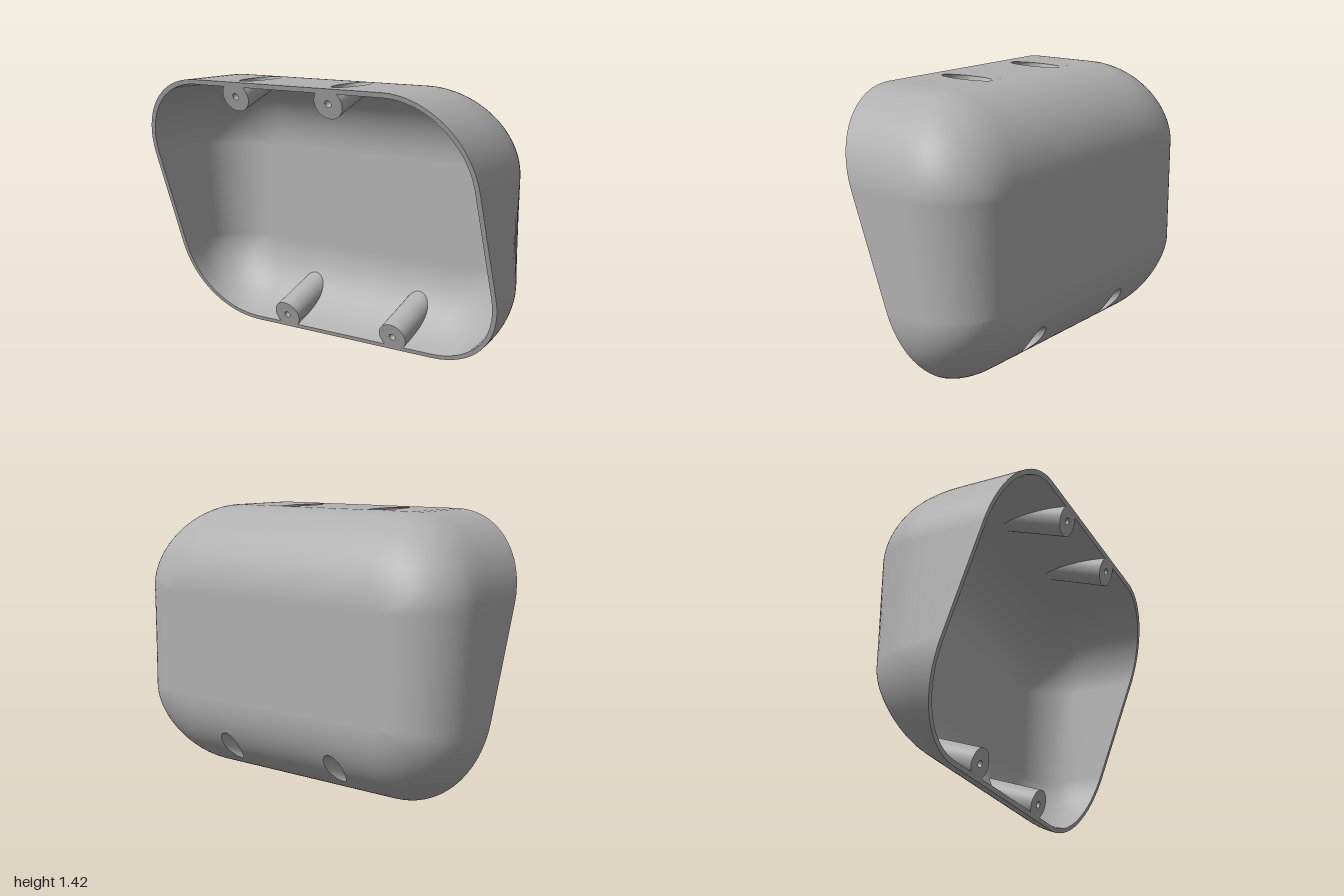
import * as THREE from 'three';
import { mergeVertices } from 'three/addons/utils/BufferGeometryUtils.js';

const BACK = -0.41, WALL = 0.025, ROWS = 32;
const SLOPE = 0.3627, TILT = Math.atan(SLOPE);
const POCKET_R = 0.055, BOSS_R = 0.08, SCREW_R = 0.018, FLOOR = 0.05;
const HALF = 0.09; // half width of the patch around each screw opening

// slanted plane that cuts the front open
const plane = (y) => -0.105 + SLOPE * y;

// extent of a rounded back edge of radius R at depth z, inset by o
function arc(R, z, o) {
  const d = BACK + R - z, r = R - o;
  return d <= 0 ? r : Math.sqrt(Math.max(0, r * r - d * d));
}
const topY = (z, o) => 0.98 + arc(0.44, z, o);
const bottomY = (z, o) => 0.43 - arc(0.45, z, o);

const bosses = [
  { name: 'upperBossRight', x: -0.31, y: 1.345, side: 1 },
  { name: 'upperBossLeft', x: 0.255, y: 1.345, side: 1 },
  { name: 'lowerBossRight', x: -0.345, y: 0.08, side: -1 },
  { name: 'lowerBossLeft', x: 0.345, y: 0.08, side: -1 },
];

// distance along a boss, from its front, until it leaves the shell inset by o
function hit(b, cos, sin, r, o) {
  const y0 = b.y + r * sin * Math.cos(TILT), z0 = plane(b.y) + r * sin * Math.sin(TILT);
  const at = (t) => [y0 + t * Math.sin(TILT), z0 - t * Math.cos(TILT)];
  const outside = (t) => {
    const [y, z] = at(t);
    return z < BACK + o || y > topY(z, o) || y < bottomY(z, o);
  };
  let t = 0;
  while (t < 1 && !outside(t)) t += 0.004;
  let lo = Math.max(0, t - 0.004), hi = t;
  for (let k = 0; k < 20; k++) {
    const m = (lo + hi) / 2;
    if (outside(m)) hi = m; else lo = m;
  }
  return { t: lo, z: at(lo)[1] };
}

// outline stations, counter-clockwise from the front
function makeStations() {
  const list = [];
  const corner = (x, y, a0) => {
    for (let k = 0; k <= 16; k++) {
      const a = a0 + (k / 16) * Math.PI / 2;
      list.push({ x, y, c: Math.cos(a), s: Math.sin(a) });
    }
  };
  const straight = (side, y) => {
    bosses.filter((b) => b.side === side).sort((p, q) => side * (q.x - p.x)).forEach((b) => {
      list.push({ x: b.x + side * HALF, y, c: 0, s: side, boss: b });
      list.push({ x: b.x - side * HALF, y, c: 0, s: side });
    });
  };
  corner(0.57, 0.98, 0);
  straight(1, 0.98);
  corner(-0.57, 0.98, Math.PI / 2);
  corner(-0.57, 0.43, Math.PI);
  straight(-1, 0.43);
  corner(0.57, 0.43, Math.PI * 1.5);
  return list;
}
const stations = makeStations();

function pointAtZ(u, z, o) {
  const rx = 0.12 + arc(0.31, z, o), ry = arc(u.s >= 0 ? 0.44 : 0.45, z, o);
  return new THREE.Vector3(u.x + u.c * rx, u.y + u.s * ry, z);
}
// depth from the back to the slanted rim
function reach(u, o) {
  let z = 0;
  for (let k = 0; k < 40; k++) z = plane(pointAtZ(u, z, o).y);
  return z - BACK - o;
}
const surface = (u, s, o, len = reach(u, o)) => pointAtZ(u, BACK + o + len * s * s, o);

function toGeometry(points, flip) {
  const geo = new THREE.BufferGeometry().setFromPoints(points);
  const index = [];
  for (let k = 0; k < points.length; k += 3) index.push(k, flip ? k + 2 : k + 1, flip ? k + 1 : k + 2);
  geo.setIndex(index);
  const merged = mergeVertices(geo, 1e-5);
  merged.computeVertexNormals();
  return merged;
}

// one skin of the shell with its four screw openings
function skin(o, holeR, flip) {
  const tri = [];
  const quad = (a, b, c, d) => tri.push(a, b, c, a, c, d);
  const grid = stations.map((u) => {
    const len = reach(u, o);
    return Array.from({ length: ROWS + 1 }, (_, j) => surface(u, j / ROWS, o, len));
  });
  const centre = new THREE.Vector3(0, 0.705, BACK + o);
  stations.forEach((u, i) => {
    const A = grid[i], B = grid[(i + 1) % grid.length];
    tri.push(centre, B[0], A[0]);
    const gap = u.boss ? opening(u, o, holeR, quad) : null;
    for (let j = 0; j < ROWS; j++) {
      if (gap && j >= gap[0] && j < gap[1]) continue;
      quad(A[j], B[j], B[j + 1], A[j + 1]);
    }
  });
  return toGeometry(tri, flip);
}

// rectangular patch around an opening, blended in rings; returns the rows it fills
function opening(u, o, r, quad) {
  const b = u.boss, len = reach(u, o);
  const sAt = (cos, sin) => {
    const h = hit(b, cos, sin, r, o);
    return Math.min(0.97, Math.sqrt(Math.max(0, h.z - BACK - o) / len));
  };
  const s0 = sAt(0, -b.side), s1 = sAt(0, b.side);
  const mid = (s0 + s1) / 2, half = (s1 - s0) / 2;
  const j0 = Math.max(0, Math.floor(s0 * ROWS) - 1), j1 = Math.min(ROWS, Math.ceil(s1 * ROWS) + 1);
  const edge = [], K = 10;
  for (let k = 0; k < K; k++) edge.push([-HALF + 2 * HALF * k / K, j0 / ROWS]);
  for (let j = j0; j < j1; j++) edge.push([HALF, j / ROWS]);
  for (let k = 0; k < K; k++) edge.push([HALF - 2 * HALF * k / K, j1 / ROWS]);
  for (let j = j1; j > j0; j--) edge.push([-HALF, j / ROWS]);
  const rings = edge.map(([a, s]) => {
    const f = Math.atan2((s - mid) / half, a / r);
    const ha = r * Math.cos(f), hs = sAt(-b.side * Math.cos(f), b.side * Math.sin(f));
    return [0, 1, 2, 3].map((m) => {
      const x = b.x - b.side * THREE.MathUtils.lerp(a, ha, m / 3);
      return surface({ ...u, x }, THREE.MathUtils.lerp(s, hs, m / 3), o, len);
    });
  });
  rings.forEach((p, k) => {
    const q = rings[(k + 1) % rings.length];
    for (let m = 0; m < 3; m++) quad(p[m], q[m], q[m + 1], p[m + 1]);
  });
  return [j0, j1];
}

// flat lip between the two skins
function rim() {
  const tri = [];
  stations.forEach((u, i) => {
    const v = stations[(i + 1) % stations.length];
    const a = surface(u, 1, 0), b = surface(v, 1, 0), c = surface(v, 1, WALL), d = surface(u, 1, WALL);
    tri.push(a, b, c, a, c, d);
  });
  return toGeometry(tri, false);
}

// open tube along local -z whose far end follows a rule
function tube(r, near, far) {
  const geo = new THREE.CylinderGeometry(r, r, 1, 48, 1, true).rotateX(Math.PI / 2);
  const p = geo.attributes.position;
  for (let k = 0; k < p.count; k++) {
    const end = far(p.getX(k) / r, p.getY(k) / r);
    p.setZ(k, p.getZ(k) > 0 ? -near : -Math.max(near, end));
  }
  return geo;
}

export function createModel() {
  const model = new THREE.Group();
  const grey = new THREE.MeshStandardMaterial({ color: 0xb0b0b0 });
  grey.name = 'grey';
  const greyThin = grey;
  greyThin.side = THREE.DoubleSide;
  const add = (parent, name, geo) => {
    const mesh = new THREE.Mesh(geo, grey);
    mesh.name = name;
    parent.add(mesh);
    return mesh;
  };

  add(model, 'outerShell', skin(0, POCKET_R, false));
  add(model, 'innerShell', skin(WALL, 0.06, true));
  add(model, 'rim', rim());

  // screw bosses with a countersunk pocket open to the outside
  for (const b of bosses) {
    const g = new THREE.Group();
    g.name = b.name;
    g.position.set(b.x, b.y, plane(b.y));
    g.rotation.x = TILT;
    add(g, 'bossWall', tube(BOSS_R, 0, (c, s) => hit(b, c, s, BOSS_R, WALL / 2).t));
    add(g, 'bossFace', new THREE.RingGeometry(SCREW_R, BOSS_R, 48));
    add(g, 'screwPocket', tube(POCKET_R, FLOOR, (c, s) => hit(b, c, s, POCKET_R, 0).t));
    add(g, 'pocketFloor', new THREE.RingGeometry(SCREW_R, POCKET_R, 48)).position.z = -FLOOR;
    add(g, 'screwHole', tube(SCREW_R, 0, () => FLOOR));
    model.add(g);
  }
  return model;
}
